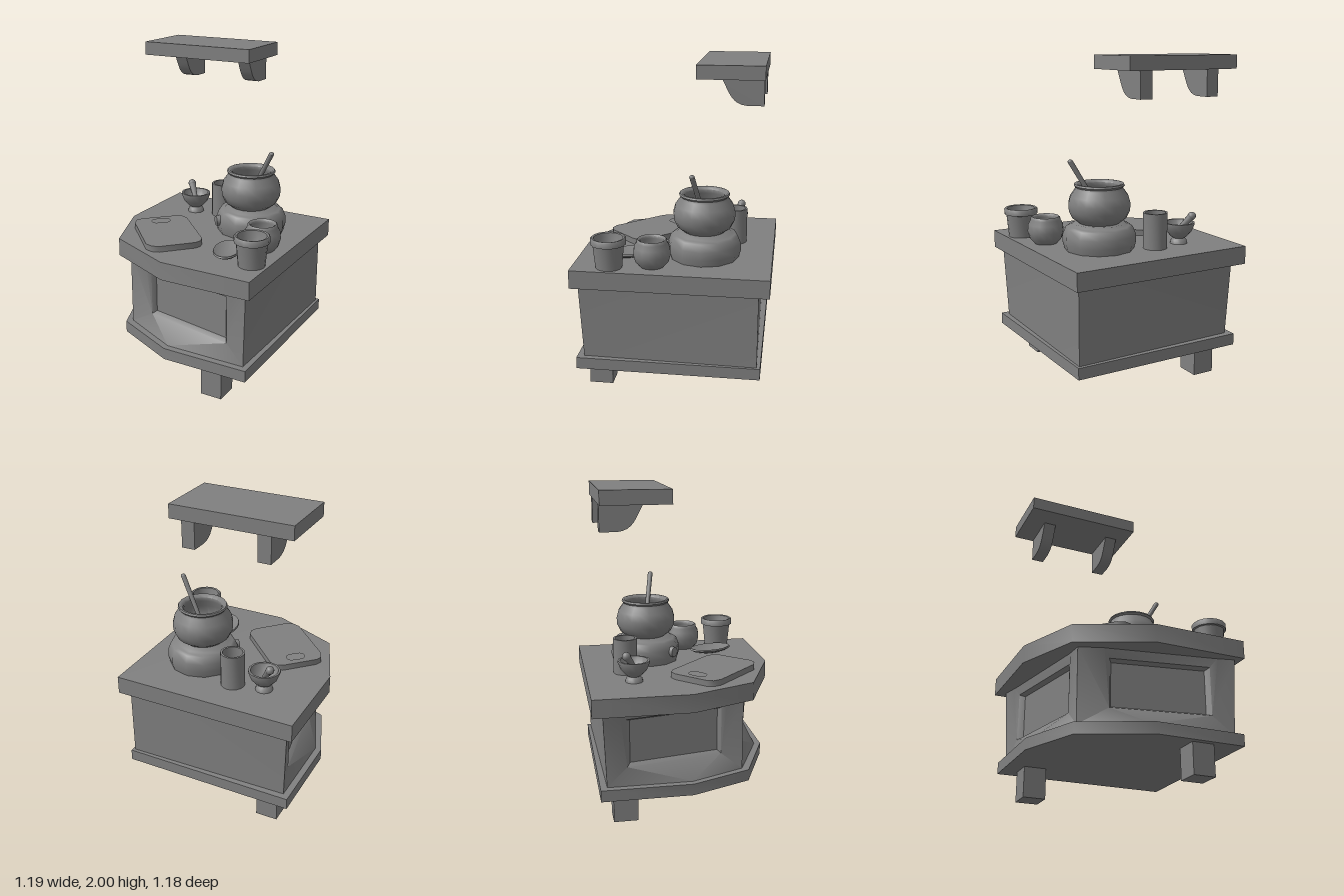
import * as THREE from 'three';
import { toCreasedNormals } from 'three/addons/utils/BufferGeometryUtils.js';

const grey = new THREE.MeshStandardMaterial({ color: 0x808080 });
const greyDouble = new THREE.MeshStandardMaterial({ color: 0x808080, side: THREE.DoubleSide });
const V = (x, y, z) => new THREE.Vector3(x, y, z);

function add(parent, name, geometry, x = 0, y = 0, z = 0, material = grey) {
  const mesh = new THREE.Mesh(geometry, material);
  mesh.name = name;
  mesh.position.set(x, y, z);
  parent.add(mesh);
  return mesh;
}

// Box given by its limits on each axis
function box(parent, name, [x0, x1], [y0, y1], [z0, z1]) {
  return add(parent, name, new THREE.BoxGeometry(x1 - x0, y1 - y0, z1 - z0),
    (x0 + x1) / 2, (y0 + y1) / 2, (z0 + z1) / 2);
}

// Upright prism from an [x, z] outline, shaded smoothly round its blunt corners
function slab(parent, name, outline, y0, y1, hole) {
  const path = pts => pts.map(([x, z]) => new THREE.Vector2(x, -z));
  const shape = new THREE.Shape(path(outline));
  if (hole) shape.holes.push(new THREE.Path(path(hole)));
  const geo = new THREE.ExtrudeGeometry(shape, { depth: y1 - y0, bevelEnabled: false });
  geo.rotateX(-Math.PI / 2);
  return add(parent, name, toCreasedNormals(geo, 0.9), 0, y0, 0);
}

// Turned vessel from a [radius, y] profile, outside first, then inside
function turned(parent, name, profile, x, z, sides = 16) {
  const geo = new THREE.LatheGeometry(profile.map(p => new THREE.Vector2(...p)), sides);
  return add(parent, name, toCreasedNormals(geo, 0.9), x, 0, z, greyDouble);
}

// Round stick between two points
function stick(parent, name, a, b, r0, r1, sides = 10) {
  const dir = b.clone().sub(a);
  const mesh = add(parent, name, new THREE.CylinderGeometry(r1, r0, dir.length(), sides));
  mesh.position.copy(a).add(b).multiplyScalar(0.5);
  mesh.quaternion.setFromUnitVectors(V(0, 1, 0), dir.normalize());
  return mesh;
}

// Cabinet body: one panelled front and one plain side, repeated across the diagonal
function bodyGeometry() {
  const out = [];
  const half = (cx, cz, map, flip) => {
    const poly = (...p) => {
      for (let i = 1; i < p.length - 1; i++) {
        const tri = flip ? [p[0], p[i + 1], p[i]] : [p[0], p[i], p[i + 1]];
        tri.forEach(v => out.push(...map(v)));
      }
    };
    const onPanel = (x, y, depth) => V(x, y, 0.39 + 0.19 * (x + 0.2) - depth);
    const rect = (x0, x1, y0, y1, d) =>
      [[x0, y0], [x1, y0], [x1, y1], [x0, y1]].map(([x, y]) => onPanel(x, y, d));
    const I = rect(-0.2, 0.395, 0.37, 0.67, 0);
    const J = rect(-0.18, 0.375, 0.385, 0.655, 0.03);
    const C0 = V(cx, 0.26, cz), C1 = V(cx, 0.73, cz);
    const M0 = V(0, 0.26, 0.53), R0 = V(0.52, 0.26, 0.53), R1 = V(0.54, 0.73, 0.55);
    const T0 = V(-0.235, 0.73, 0.4), T1 = V(0.44, 0.73, 0.525);
    poly(M0, R0, I[1], I[0], C0);
    poly(I[1], R0, R1, T1, I[2]);
    poly(I[3], I[2], T1, T0);
    poly(I[0], I[3], T0, C1, C0);
    for (let i = 0; i < 4; i++) poly(I[i], I[(i + 1) % 4], J[(i + 1) % 4], J[i]);
    poly(...J);
    poly(R0, V(0.54, 0.26, -0.527), V(0.54, 0.73, -0.527), R1);
  };
  half(-0.38, 0.35, v => [v.x, v.y, v.z], false);
  half(-0.337, 0.393, v => [0.013 - v.z, v.y, 0.013 - v.x], true);
  const geo = new THREE.BufferGeometry();
  geo.setAttribute('position', new THREE.Float32BufferAttribute(out, 3));
  return toCreasedNormals(geo, 0.75);
}

export function createModel() {
  const model = new THREE.Group();
  model.name = 'kitchenCounter';

  // Cabinet
  const cabinet = new THREE.Group();
  cabinet.name = 'cabinet';
  model.add(cabinet);
  slab(cabinet, 'countertop', [[-0.594, -0.592], [0.583, -0.592], [0.583, 0.592],
    [0, 0.592], [-0.435, 0.396], [-0.594, 0]], 0.725, 0.838);
  add(cabinet, 'cabinetBody', bodyGeometry());
  slab(cabinet, 'plinth', [[-0.557, -0.548], [0.556, -0.548], [0.556, 0.572],
    [0, 0.572], [-0.41, 0.385], [-0.557, 0.01]], 0.188, 0.26);
  box(cabinet, 'frontLeg', [0.24, 0.377], [0, 0.19], [0.388, 0.535]);
  box(cabinet, 'backLeg', [-0.455, -0.315], [0, 0.19], [-0.465, -0.315]);

  // Wall shelf with two curved brackets
  const shelf = new THREE.Group();
  shelf.name = 'wallShelf';
  model.add(shelf);
  box(shelf, 'shelfBoard', [-0.541, 0.204], [1.917, 2], [-0.517, -0.113]);
  const bracket = new THREE.Shape();
  bracket.moveTo(0.51, 1.92);
  bracket.lineTo(0.51, 1.757);
  bracket.lineTo(0.41, 1.757);
  bracket.bezierCurveTo(0.315, 1.765, 0.305, 1.83, 0.255, 1.92);
  for (const x of [-0.37, 0.09]) {
    const geo = new THREE.ExtrudeGeometry(bracket, { depth: 0.08, bevelEnabled: false, curveSegments: 8 });
    geo.translate(0, 0, -0.04).rotateY(Math.PI / 2);
    add(shelf, 'shelfBracket', toCreasedNormals(geo, 0.6), x, 0, 0);
  }

  // Cutting board with an oblong handle hole
  const hole = [];
  for (let i = 0; i < 16; i++) {
    const a = i / 16 * Math.PI * 2;
    const u = 0.034 * Math.cos(a) + (Math.cos(a) > 0 ? 0.026 : -0.026), w = 0.035 * Math.sin(a);
    hole.push([-0.327 + (u + w) * 0.707, 0.074 + (w - u) * 0.707]);
  }
  slab(model, 'cuttingBoard', [[-0.3, -0.06], [-0.255, -0.078], [-0.21, -0.06], [0.065, 0.215],
    [0.08, 0.26], [0.065, 0.3], [-0.09, 0.465], [-0.135, 0.48], [-0.185, 0.465],
    [-0.455, 0.19], [-0.475, 0.14], [-0.46, 0.1]], 0.835, 0.875, hole);

  // Stove with control knob
  turned(model, 'stove', [[0, 0.835], [0.212, 0.835], [0.225, 0.88], [0.223, 0.93], [0.205, 0.975],
    [0.19, 0.985], [0.17, 0.99], [0.16, 1.0], [0, 1.0]], 0.207, -0.172, 12);
  stick(model, 'stoveKnob', V(0.08, 0.915, -0.045), V(0.04, 0.915, -0.005), 0.037, 0.032, 12);

  // Cooking pot and stirring spoon
  turned(model, 'cookingPot', [[0, 1.0], [0.125, 1.0], [0.165, 1.03], [0.187, 1.075], [0.19, 1.12],
    [0.178, 1.165], [0.15, 1.205], [0.145, 1.218], [0.155, 1.23], [0.15, 1.24], [0.138, 1.241],
    [0.122, 1.225], [0.125, 1.2], [0.155, 1.15], [0.16, 1.09], [0.1, 1.03], [0, 1.025]], 0.205, -0.17, 20);
  stick(model, 'spoonHandle', V(0.19, 1.05, -0.175), V(0.37, 1.375, -0.113), 0.013, 0.016);
  const tip = add(model, 'spoonEnd', new THREE.SphereGeometry(0.016, 10, 8), 0.37, 1.375, -0.113);
  tip.scale.y = 0.8;

  // Tall mug
  turned(model, 'tallMug', [[0, 0.835], [0.075, 0.835], [0.075, 1.06], [0.062, 1.06],
    [0.062, 0.86], [0, 0.86]], -0.09, -0.34);

  // Mortar and pestle
  turned(model, 'mortar', [[0, 0.835], [0.055, 0.835], [0.05, 0.86], [0.035, 0.872], [0.05, 0.882],
    [0.08, 0.915], [0.098, 0.96], [0.098, 0.972], [0.085, 0.972], [0.07, 0.93], [0.04, 0.905],
    [0, 0.9]], -0.287, -0.31);
  stick(model, 'pestle', V(-0.285, 0.92, -0.305), V(-0.345, 1.01, -0.36), 0.014, 0.024);
  add(model, 'pestleKnob', new THREE.SphereGeometry(0.026, 12, 8), -0.347, 1.013, -0.362);

  // Round jar
  turned(model, 'roundJar', [[0, 0.835], [0.07, 0.835], [0.1, 0.868], [0.113, 0.915], [0.108, 0.96],
    [0.093, 0.988], [0.092, 1.002], [0.085, 1.008], [0.072, 1.0], [0.07, 0.985], [0.085, 0.92],
    [0.06, 0.87], [0, 0.86]], 0.43, 0.117);

  // Flared pot with a collar
  turned(model, 'flaredPot', [[0, 0.835], [0.08, 0.835], [0.094, 0.982], [0.106, 0.985], [0.107, 1.018],
    [0.1, 1.025], [0.088, 1.022], [0.082, 0.98], [0.065, 0.93], [0, 0.915]], 0.485, 0.368);

  // Oval dish with a raised rim
  const dish = turned(model, 'ovalDish', [[0, 0.837], [0.6, 0.842], [0.85, 0.852], [1, 0.864],
    [0.96, 0.874], [0.84, 0.868], [0.55, 0.853], [0, 0.85]], 0.28, 0.283, 24);
  dish.geometry = toCreasedNormals(dish.geometry.scale(0.085, 1, 0.147), 0.9);
  dish.rotation.y = 0.3;

  return model;
}
